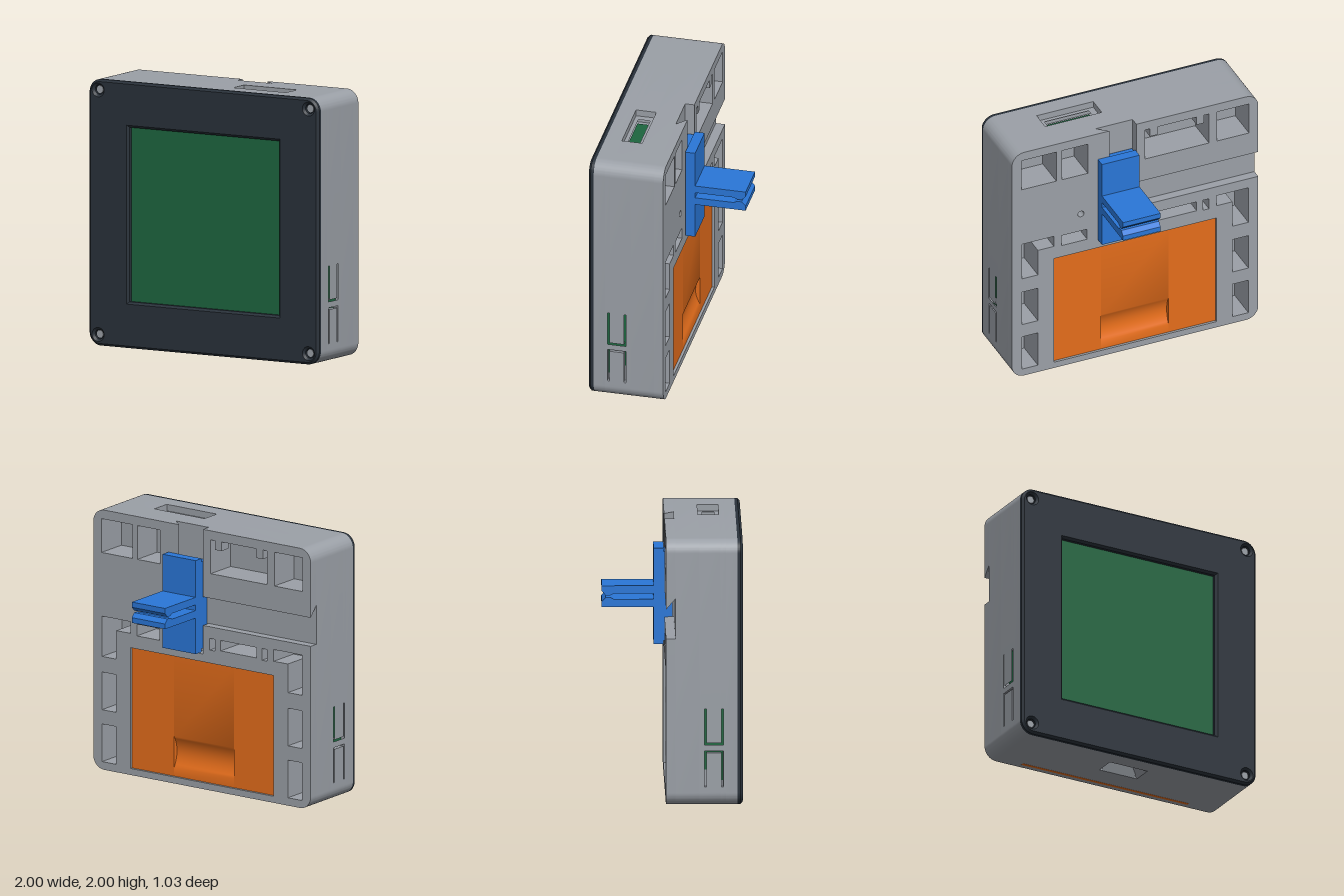
import * as THREE from 'three';
import { toCreasedNormals } from 'three/addons/utils/BufferGeometryUtils.js';

const material = (name, color) => Object.assign(new THREE.MeshStandardMaterial({ color }), { name });

// Closed polygon from [x, y] pairs
const poly = pts => new THREE.Shape(pts.map(([x, y]) => new THREE.Vector2(x, y)));
const rect = (x0, x1, y0, y1) => poly([[x0, y0], [x1, y0], [x1, y1], [x0, y1]]);
const disc = (x, y, r) => new THREE.Shape().absarc(x, y, r, 0, Math.PI * 2, false);

// Rounded square outline, with optional notches cut in the bottom, top and both side edges
function outline({ bottom = [], top = [], side = [] } = {}) {
  const s = new THREE.Shape(), r = 0.1;
  s.moveTo(-1 + r, 0);
  bottom.forEach(p => s.lineTo(...p));
  s.absarc(1 - r, r, r, -Math.PI / 2, 0, false);
  side.forEach(([x, y]) => s.lineTo(x, y));
  s.absarc(1 - r, 2 - r, r, 0, Math.PI / 2, false);
  top.forEach(p => s.lineTo(...p));
  s.absarc(-1 + r, 2 - r, r, Math.PI / 2, Math.PI, false);
  [...side].reverse().forEach(([x, y]) => s.lineTo(-x, y));
  s.absarc(-1 + r, r, r, Math.PI, Math.PI * 1.5, false);
  return s;
}

function extrude(shape, depth, options = {}) {
  const g = new THREE.ExtrudeGeometry(shape, { depth, bevelEnabled: false, curveSegments: 10, ...options });
  return toCreasedNormals(g, 0.5);
}
// Slab between two z values
const slab = (shape, z0, z1) => extrude(shape, z1 - z0).translate(0, 0, z0);
// Prism along x from [z, y] points, and along y from [x, z] points, each with optional holes
const flipZ = pts => poly(pts.map(([z, y]) => [-z, y]));
function prismX(pts, x0, x1, holes = []) {
  const s = flipZ(pts);
  s.holes = holes.map(flipZ);
  return extrude(s, x1 - x0).rotateY(Math.PI / 2).translate(x0, 0, 0);
}
function prismY(pts, y0, y1, holes = []) {
  const flip = p => poly(p.map(([x, z]) => [x, -z]));
  const s = flip(pts);
  s.holes = holes.map(flip);
  return extrude(s, y1 - y0).rotateX(-Math.PI / 2).translate(0, y0, 0);
}
const corners = (a0, a1, b0, b1) => [[a0, b0], [a1, b0], [a1, b1], [a0, b1]];

export function createModel() {
  const model = new THREE.Group();
  const grey = material('housing grey', 0x9ba0a7);
  const dark = material('bezel charcoal', 0x29313a);
  const green = material('board green', 0x1d653f);
  const blue = material('bracket blue', 0x2a77d8);
  const orange = material('door orange', 0xe46d1b);

  const group = name => {
    const g = new THREE.Group();
    g.name = name;
    model.add(g);
    return g;
  };
  const add = (parent, name, geometry, mat) => {
    const m = new THREE.Mesh(geometry, mat);
    m.name = name;
    parent.add(m);
  };
  const box = (parent, name, mat, x0, x1, y0, y1, z0, z1) =>
    add(parent, name, new THREE.BoxGeometry(x1 - x0, y1 - y0, z1 - z0)
      .translate((x0 + x1) / 2, (y0 + y1) / 2, (z0 + z1) / 2), mat);

  const BACK = -0.055, GROOVE = 0.015, FLOOR = 0.195, PORT = 0.35, PANEL = 0.39, FRONT = 0.475;

  // Pockets in the back: lower ones, then the upper row on each side of the groove
  const lowerPockets = () => {
    const list = [rect(-0.5, -0.17, 1.09, 1.17), rect(-0.12, -0.07, 1.08, 1.17),
      rect(-0.6, -0.55, 1.08, 1.17), rect(0.39, 0.6, 1.08, 1.17)];
    for (const s of [-1, 1]) {
      list.push(poly([[0.92, 0.87], [0.92, 1.18], [0.66, 1.18], [0.66, 1.09], [0.79, 1.09], [0.79, 0.87]]
        .map(([x, y]) => [s * x, y])));
      list.push(rect(s * 0.79, s * 0.92, 0.46, 0.75), rect(s * 0.79, s * 0.92, 0.06, 0.35));
    }
    return list;
  };
  const upperLeft = () => [rect(0.64, 0.925, 1.67, 1.93), rect(0.385, 0.595, 1.67, 1.93)];
  const upperRight = () => [rect(-0.925, -0.665, 1.67, 1.93), rect(-0.6, -0.08, 1.67, 1.93)];
  const screwHole = () => disc(0.44, 1.32, 0.025);

  // Housing, stacked from the grooved back layer to the front layer
  const housing = group('housing');
  const main = new THREE.Shape();
  main.moveTo(-0.9, 0);
  main.absarc(0.9, 0.1, 0.1, -Math.PI / 2, 0, false);
  main.absarc(0.9, 1.9, 0.1, 0, Math.PI / 2, false);
  [[0.29, 2], [0.29, 1.04], [-0.01, 1.04], [-0.01, 1.26], [-1, 1.26]].forEach(p => main.lineTo(...p));
  main.absarc(-0.9, 0.1, 0.1, Math.PI, Math.PI * 1.5, false);
  main.holes = [...lowerPockets(), ...upperLeft(), screwHole(), rect(-0.66, 0.66, 0.05, 0.98)];
  const corner = new THREE.Shape();
  corner.moveTo(-1, 1.56);
  corner.lineTo(-0.01, 1.56);
  corner.lineTo(-0.01, 2);
  corner.absarc(-0.9, 1.9, 0.1, Math.PI / 2, Math.PI, false);
  corner.holes = upperRight();
  add(housing, 'backLayer', slab([main, corner], BACK, GROOVE), grey);

  const pocketLayer = outline();
  pocketLayer.holes = [...lowerPockets(), ...upperLeft(), ...upperRight(), screwHole()];
  add(housing, 'pocketLayer', slab(pocketLayer, GROOVE, FLOOR), grey);

  const side = [[1, 0.12], [0.95, 0.12], [0.95, 0.76], [1, 0.76]];
  const portLayer = outline({
    bottom: [[-0.16, 0], [-0.1, 0.08], [0.1, 0.08], [0.16, 0]],
    top: [[0.62, 2], [0.62, 1.9], [0.16, 1.9], [0.16, 2]],
    side,
  });
  add(housing, 'portLayer', slab(portLayer, FLOOR, PORT), grey);
  add(housing, 'panelLayer', slab(outline({ side }), PORT, PANEL), grey);
  add(housing, 'frontLayer', slab(outline(), PANEL, FRONT - 0.01), grey);
  const rim = outline();
  rim.holes = [rect(-0.67, 0.67, 0.33, 1.675)];
  add(housing, 'frontRim', slab(rim, FRONT - 0.01, FRONT), grey);

  // Overhanging lips of the dovetail grooves
  add(housing, 'verticalLip', prismY([[0.21, BACK], [0.29, BACK], [0.29, GROOVE]], 1.04, 2), grey);
  add(housing, 'horizontalLip', prismX([[BACK, 1.48], [BACK, 1.56], [GROOVE, 1.56]], -1, -0.01), grey);

  // Small tabs inside the wide upper pocket
  for (const x of [-0.53, -0.15]) box(housing, 'pocketTab', grey, x - 0.03, x + 0.03, 1.86, 1.93, BACK, 0.03);

  // Top port: flat ledge with a slot showing the board
  add(housing, 'portLedge', prismY(corners(0.16, 0.62, FLOOR, PORT), 1.9, 1.95,
    [corners(0.21, 0.57, 0.23, 0.32)]), grey);
  box(housing, 'portBoard', green, 0.2, 0.58, 1.9, 1.908, 0.22, 0.33);

  // Bottom port: sloped walls around a narrow opening
  add(housing, 'portSlope', prismX([[FLOOR, 0], [FLOOR, 0.08], [0.23, 0.08]], -0.14, 0.14), grey);
  add(housing, 'portSlope', prismX([[PORT, 0], [PORT, 0.08], [0.32, 0.08]], -0.14, 0.14), grey);
  box(housing, 'portBoard', green, -0.1, 0.1, 0.076, 0.084, 0.23, 0.32);

  // Side panels with spring button slits and the board just behind them
  const upperSlit = [[0.23, 0.73], [0.23, 0.46], [0.37, 0.46], [0.37, 0.73],
    [0.355, 0.73], [0.355, 0.474], [0.245, 0.474], [0.245, 0.73]];
  const lowerSlit = [[0.23, 0.145], [0.23, 0.415], [0.37, 0.415], [0.37, 0.145],
    [0.355, 0.145], [0.355, 0.401], [0.245, 0.401], [0.245, 0.145]];
  for (const s of [-1, 1]) {
    const panels = group(s > 0 ? 'leftButtons' : 'rightButtons');
    const [x0, x1] = s > 0 ? [0.96, 1] : [-1, -0.96];
    add(panels, 'buttonPanel', prismX(corners(FLOOR, PANEL, 0.12, 0.76), x0, x1, [upperSlit, lowerSlit]), grey);
    const [b0, b1] = s > 0 ? [0.949, 0.957] : [-0.957, -0.949];
    box(panels, 'sideBoard', green, b0, b1, 0.27, 0.755, 0.2, 0.3);
    box(panels, 'sideBoard', green, b0, b1, 0.19, 0.755, 0.3, 0.385);
  }

  // Front bezel with chamfered edges, screen opening and screw holes
  const front = group('front');
  const screws = [-1, 1].flatMap(s => [[s * 0.916, 0.084], [s * 0.916, 1.92]]);
  const frame = outline();
  frame.holes = [rect(-0.652, 0.652, 0.348, 1.657), ...screws.map(([x, y]) => disc(x, y, 0.036))];
  const bevel = 0.017;
  add(front, 'bezel', extrude(frame, 0.04 - bevel, {
    bevelEnabled: true, bevelSegments: 1, bevelSize: bevel, bevelThickness: bevel, bevelOffset: -bevel,
  }).translate(0, 0, FRONT), dark);
  box(front, 'screen', green, -0.665, 0.665, 0.335, 1.67, FRONT - 0.01, FRONT - 0.003);
  for (const [x, y] of screws) {
    add(front, 'screwSeat', slab(disc(x, y, 0.045), FRONT, 0.479), dark);
    add(front, 'screw', slab(disc(x, y, 0.028), FRONT, 0.488), grey);
  }

  // Battery door with a scooped finger grip
  const door = group('batteryDoor');
  const outer = -0.035;
  const scoop = [];
  for (let i = 0; i <= 12; i++) {
    const t = i / 12;
    scoop.push([outer + 0.14 * t * (1 - t), 0.12 + 0.235 * t]);
  }
  add(door, 'gripPanel', prismX([[GROOVE, 0.05], [outer, 0.05], ...scoop, [outer, 0.98], [GROOVE, 0.98]], -0.28, 0.27), orange);
  for (const [x0, x1] of [[-0.66, -0.28], [0.27, 0.66]])
    box(door, 'sidePanel', orange, x0, x1, 0.05, 0.98, outer, GROOVE);
  box(door, 'doorEdge', orange, -0.71, 0.71, -0.001, 0.004, -0.014, 0.012);

  // Mounting bracket: sliding dovetail, back plate and two hooked arms
  const bracket = group('bracket');
  add(bracket, 'slide', prismY([[0, -0.06], [0.2, -0.06], [0.25, -0.015], [0.25, 0.005], [0, 0.005]], 1.08, 1.75), blue);
  box(bracket, 'plate', blue, 0, 0.305, 1.055, 1.775, -0.135, -0.06);
  const arm = [[-0.135, 0.022], [-0.43, 0.022], [-0.455, 0.008], [-0.49, 0.008], [-0.52, 0.04], [-0.52, 0.08], [-0.135, 0.08]];
  for (const s of [-1, 1])
    add(bracket, 'arm', prismX(arm.map(([z, y]) => [z, 1.4125 + s * y]), 0, 0.305), blue);

  return model;
}
